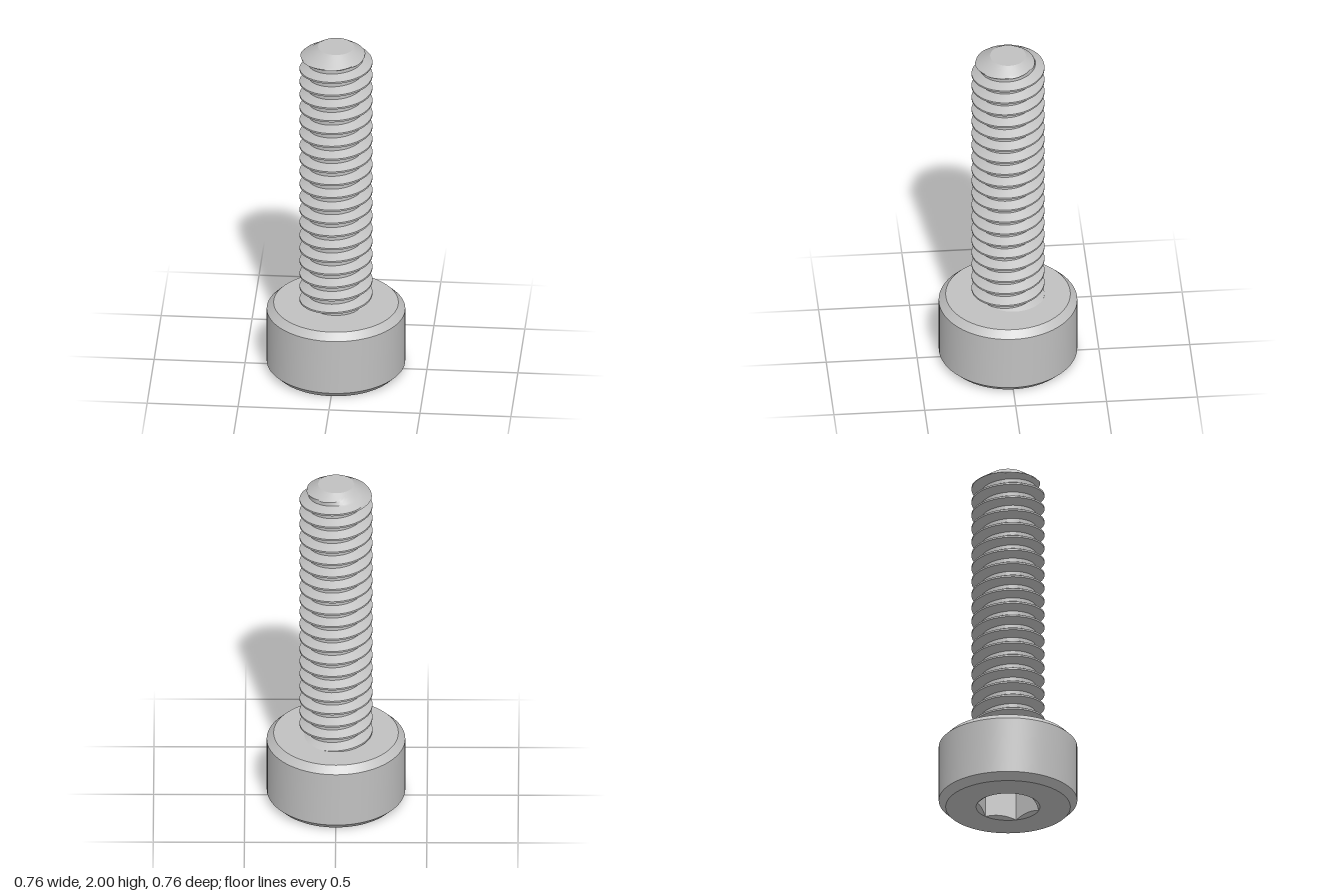
import * as THREE from 'three';
import { toCreasedNormals } from 'three/addons/utils/BufferGeometryUtils.js';

const SEGMENTS = 72;
const PITCH = 0.08;
const CREST = 0.2, ROOT = 0.151;   // thread radii
const HEAD_TOP = 0.4, TOP = 2;
const HEX_CORNER = 0.175, SOCKET_DEPTH = 0.2;

// Surface around the y axis: point(angle, row) returns [radius, y].
// Rows run so that the outside lies to their right, like a lathe profile.
function aroundAxis(rows, point) {
  const grid = [];
  for (let j = 0; j < rows; j++) {
    const ring = [];
    for (let i = 0; i <= SEGMENTS; i++) {
      const a = (i / SEGMENTS) * Math.PI * 2;
      const [r, y] = point(a, j);
      ring.push(new THREE.Vector3(r * Math.cos(a), y, -r * Math.sin(a)));
    }
    grid.push(ring);
  }
  const positions = [];
  const tri = new THREE.Triangle();
  const addFace = (a, b, c) => {
    if (tri.set(a, b, c).getArea() < 1e-9) return; // collapsed at a clamped end
    positions.push(...a.toArray(), ...b.toArray(), ...c.toArray());
  };
  for (let j = 0; j < rows - 1; j++) {
    for (let i = 0; i < SEGMENTS; i++) {
      const a = grid[j][i], b = grid[j][i + 1];
      const c = grid[j + 1][i + 1], d = grid[j + 1][i];
      addFace(a, b, c);
      addFace(a, c, d);
    }
  }
  const geometry = new THREE.BufferGeometry();
  geometry.setAttribute('position', new THREE.Float32BufferAttribute(positions, 3));
  return toCreasedNormals(geometry, 0.5);
}

// Chamfered cylindrical head with an open socket mouth underneath
function headGeometry() {
  const profile = [
    [HEX_CORNER, 0], [0.342, 0], [0.38, 0.038],
    [0.38, 0.362], [0.342, HEAD_TOP], [0, HEAD_TOP],
  ];
  return aroundAxis(profile.length, (a, j) => profile[j]);
}

// Hexagonal recess; its conical lead-in cuts scallops into the six flats
function socketGeometry() {
  const sector = Math.PI / 3;
  return aroundAxis(4, (a, j) => {
    const r = HEX_CORNER * Math.cos(sector / 2) / Math.cos((a % sector) - sector / 2);
    return [
      [0, SOCKET_DEPTH],
      [r, SOCKET_DEPTH],
      [r, (HEX_CORNER - r) * 0.7],
      [HEX_CORNER, 0],
    ][j];
  });
}

// Right-hand helical V thread, trimmed by a conical point at the top
function threadGeometry() {
  const steps = [];
  const corners = [
    [-PITCH / 16, CREST], [PITCH / 16, CREST],
    [PITCH * 3 / 8, ROOT], [PITCH * 5 / 8, ROOT], [PITCH * 15 / 16, CREST],
  ];
  for (let k = 0; k < 4; k++) {
    const pieces = k % 2 ? 5 : 1; // flanks are divided for a clean trim
    for (let s = 0; s < pieces; s++) {
      const t = s / pieces;
      steps.push([0, 1].map((n) => THREE.MathUtils.lerp(corners[k][n], corners[k + 1][n], t)));
    }
  }
  const start = 0.3 - PITCH / 4 + 0.02 - PITCH * 1;  // a crest on the +x side
  const turns = 24;
  return aroundAxis(turns * steps.length, (a, j) => {
    const [dy, radius] = steps[j % steps.length];
    const turn = Math.floor(j / steps.length) + a / (Math.PI * 2);
    const y = THREE.MathUtils.clamp(start + turn * PITCH + dy, HEAD_TOP - 0.01, TOP);
    return [Math.min(radius, 0.098 + (TOP - y) * 1.5), y];
  });
}

export function createModel() {
  const steel = new THREE.MeshStandardMaterial({ color: 0xc0c0c0 });
  steel.name = 'steel grey';
  const model = new THREE.Group();
  model.name = 'socketHeadScrew';

  const add = (name, geometry) => {
    const mesh = new THREE.Mesh(geometry, steel);
    mesh.name = name;
    model.add(mesh);
    return mesh;
  };

  add('head', headGeometry());
  add('hexSocket', socketGeometry());
  add('threadedShank', threadGeometry());

  // Flat end of the shank
  const tip = add('shankTip', new THREE.CircleGeometry(0.098, SEGMENTS));
  tip.rotation.x = -Math.PI / 2;
  tip.position.y = TOP;
  return model;
}
